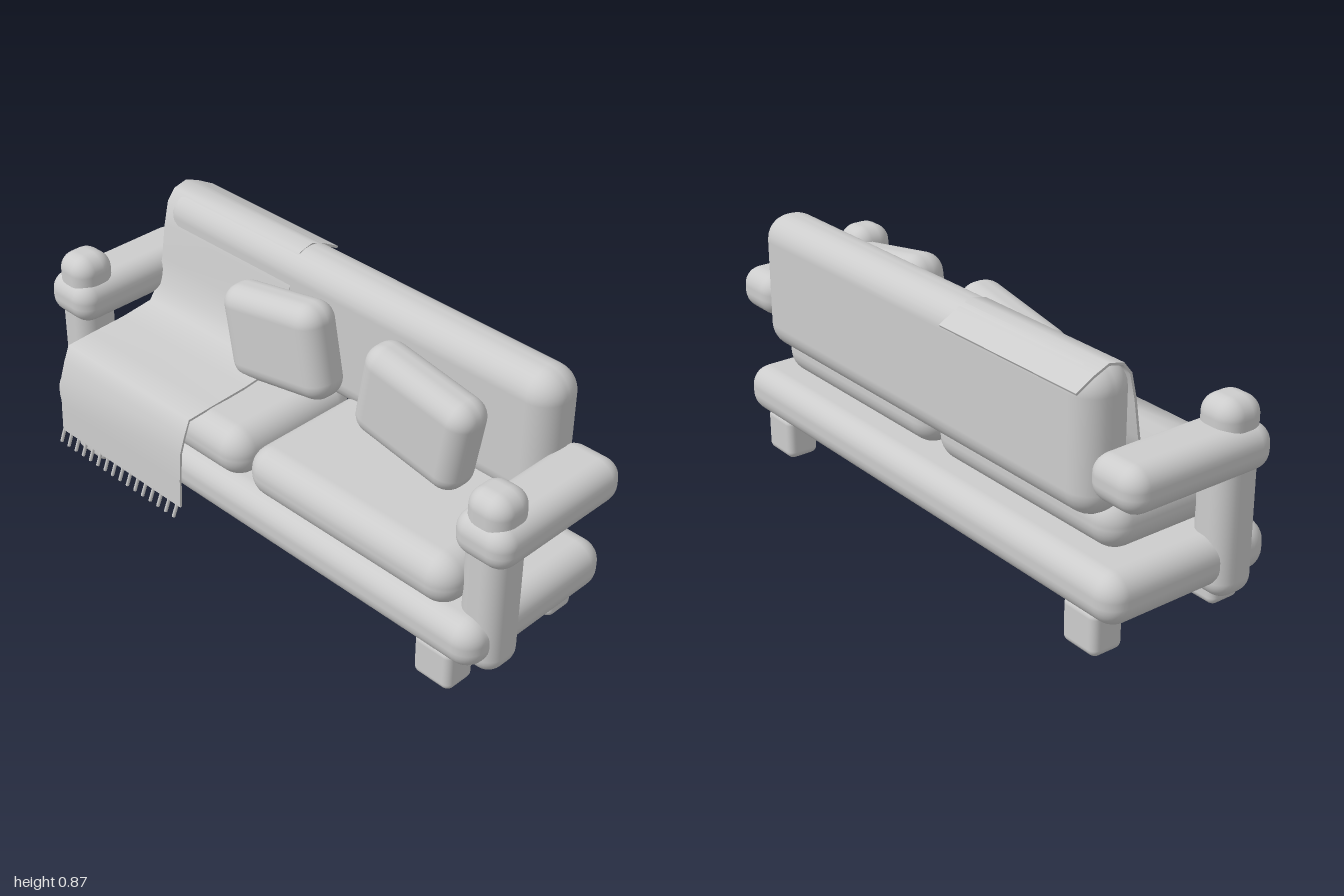
import * as THREE from 'three';
import { RoundedBoxGeometry } from 'three/addons/geometries/RoundedBoxGeometry.js';
import { toCreasedNormals } from 'three/addons/utils/BufferGeometryUtils.js';

const upholstery = new THREE.MeshStandardMaterial({ color: 0xcccccc });
upholstery.name = 'light grey upholstery';

export function createModel() {
  const sofa = new THREE.Group();
  sofa.name = 'sofa';

  const add = (name, geometry, parent = sofa) => {
    const mesh = new THREE.Mesh(geometry, upholstery);
    mesh.name = name;
    parent.add(mesh);
    return mesh;
  };

  // Soft block given by its [min, max] range on each axis
  const block = (name, x, y, z, radius) => {
    const size = [x, y, z].map(([a, b]) => b - a);
    const mesh = add(name, new RoundedBoxGeometry(...size, 4, radius));
    mesh.position.set((x[0] + x[1]) / 2, (y[0] + y[1]) / 2, (z[0] + z[1]) / 2);
    return mesh;
  };

  // Base and backrest
  block('base', [-0.95, 0.95], [0.125, 0.288], [-0.336, 0.284], 0.07);
  block('backrest', [-0.83, 0.83], [0.405, 0.865], [-0.325, -0.142], 0.085);

  // Mirrored parts
  for (const [side, s] of [['left', 1], ['right', -1]]) {
    const range = (a, b) => (s > 0 ? [a, b] : [-b, -a]);
    block(`${side}SeatCushion`, range(0.007, 0.846), [0.284, 0.455], [-0.245, 0.278], 0.08);
    block(`${side}Armrest`, range(0.795, 1), [0.485, 0.63], [-0.312, 0.23], 0.062);
    block(`${side}ArmPost`, range(0.82, 0.97), [0.086, 0.711], [0.062, 0.212], 0.058);
    block(`${side}FrontLeg`, range(0.715, 0.86), [0, 0.15], [0.146, 0.26], 0.025);
    block(`${side}BackLeg`, range(0.715, 0.86), [0, 0.15], [-0.312, -0.199], 0.025);
  }

  // Tilted scatter pillows
  for (const [name, x, tilt] of [['rightPillow', -0.147, 0.19], ['leftPillow', 0.434, -0.17]]) {
    const pillow = add(name, new RoundedBoxGeometry(0.425, 0.325, 0.15, 4, 0.065));
    pillow.position.set(x, 0.628, -0.05);
    pillow.rotation.z = tilt;
  }

  // Throw blanket: a side profile (z, y) thickened and extruded across the seat
  const path = [
    [0.343, 0.14], [0.34, 0.24], [0.334, 0.34], [0.314, 0.4], [0.294, 0.45], [0.2, 0.455],
    [0.06, 0.461], [-0.06, 0.475], [-0.1, 0.53], [-0.125, 0.62], [-0.143, 0.74],
    [-0.162, 0.82], [-0.19, 0.855], [-0.24, 0.866], [-0.29, 0.845], [-0.353, 0.81],
  ].map(([z, y]) => new THREE.Vector2(z, y));
  const offset = (d) => path.map((p, i) => {
    const t = path[Math.min(i + 1, path.length - 1)].clone().sub(path[Math.max(i - 1, 0)]).normalize();
    return new THREE.Vector2(p.x + t.y * d, p.y - t.x * d);
  });
  const profile = new THREE.Shape([...offset(0.005), ...offset(-0.003).reverse()]);
  const cloth = new THREE.ExtrudeGeometry(profile, { depth: 0.6, bevelEnabled: false });
  cloth.rotateY(-Math.PI / 2);
  cloth.translate(-0.21, 0, 0);
  const blanket = new THREE.Group();
  blanket.name = 'throwBlanket';
  sofa.add(blanket);
  add('blanketCloth', toCreasedNormals(cloth, 1.3), blanket);

  // Fringe along the hanging edge
  const strand = new THREE.CylinderGeometry(0.006, 0.006, 0.058, 6);
  for (let i = 0; i < 16; i++) {
    const tassel = add('fringeStrand', strand, blanket);
    tassel.position.set(-0.812 + i * 0.0385, 0.118, 0.348);
    tassel.rotation.set(-0.18, 0, -0.2);
  }
  return sofa;
}
